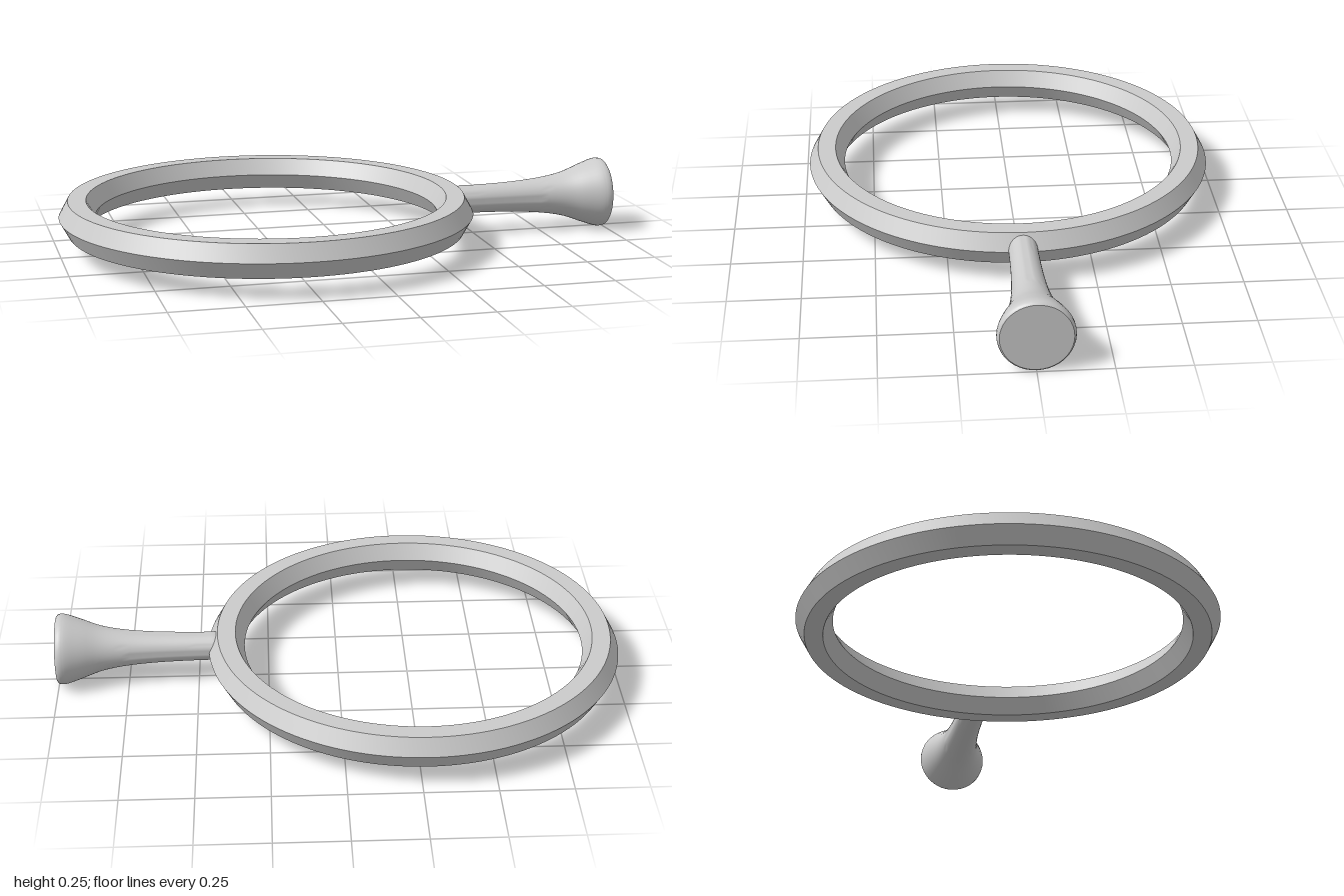
import * as THREE from 'three';
import { toCreasedNormals } from 'three/addons/utils/BufferGeometryUtils.js';

const AXIS_Y = 0.131; // shared mid-height of ring and handle

export function createModel() {
  const group = new THREE.Group();
  const material = new THREE.MeshStandardMaterial({ color: 0xcccccc });

  // Ring: hexagonal section swept round, crisp edges along the section
  const section = [];
  for (let i = 0; i <= 6; i++) {
    const a = (i * Math.PI) / 3;
    section.push(new THREE.Vector2(0.667 + 0.064 * Math.cos(a), 0.058 * Math.sin(a) / Math.sin(Math.PI / 3)));
  }
  const ring = new THREE.Mesh(toCreasedNormals(new THREE.LatheGeometry(section, 128), 0.5), material);
  ring.name = 'ring';
  ring.position.set(-0.269, AXIS_Y, 0);
  group.add(ring);

  // Handle: slim stem flaring to a round, flat-ended knob along +x
  const flare = new THREE.SplineCurve([
    [0.05, 0.43], [0.051, 0.52], [0.055, 0.64], [0.064, 0.75],
    [0.08, 0.84], [0.105, 0.91], [0.121, 0.955], [0.126, 0.975],
  ].map(([r, x]) => new THREE.Vector2(r, x))).getPoints(24);
  const profile = [
    new THREE.Vector2(0, 0.42), new THREE.Vector2(0.046, 0.42),
    ...flare,
    new THREE.Vector2(0.126, 0.987), new THREE.Vector2(0.123, 0.996),
    new THREE.Vector2(0.118, 1), new THREE.Vector2(0, 1),
  ];
  const handleGeometry = new THREE.LatheGeometry(profile, 40).rotateZ(-Math.PI / 2);
  const handle = new THREE.Mesh(toCreasedNormals(handleGeometry, 0.6), material);
  handle.name = 'handle';
  handle.position.y = AXIS_Y;
  group.add(handle);

  return group;
}
